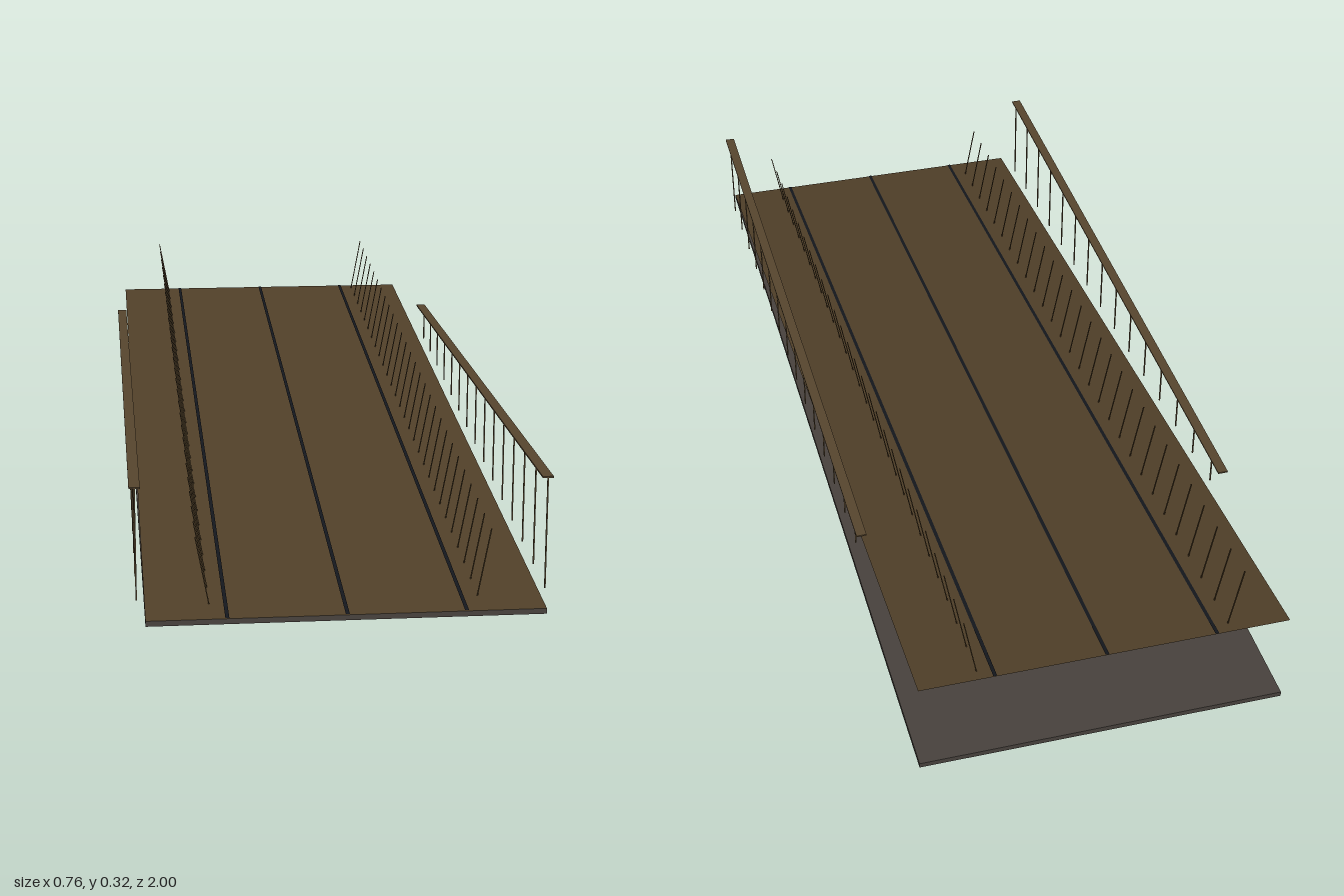
import * as THREE from 'three';

const mat = (name, color, side = THREE.FrontSide) =>
  Object.assign(new THREE.MeshStandardMaterial({ color, side }), { name });

export function createModel() {
  const model = new THREE.Group();
  model.name = 'ramp';
  const deckBrown = mat('deck brown', 0x514029, THREE.DoubleSide);
  const railBrown = mat('rail brown', 0x57462e);
  const baseGrey = mat('base grey', 0x48423d);
  const seamBlack = mat('seam black', 0x14171d, THREE.DoubleSide);
  const spikeBrown = mat('spike brown', 0x483820);

  const W = 0.71;
  const slope = 0.095;
  const rampY = z => 0.105 - slope * z; // deck height at a given z

  const add = (name, geo, material, x = 0, y = 0, z = 0, parent = model) => {
    const m = new THREE.Mesh(geo, material);
    m.name = name;
    m.position.set(x, y, z);
    parent.add(m);
    return m;
  };

  // Flat sheet lying along the incline
  const sheet = width => {
    const g = new THREE.PlaneGeometry(width, 2).rotateX(-Math.PI / 2);
    const p = g.attributes.position;
    for (let i = 0; i < p.count; i++) p.setY(i, rampY(p.getZ(i)));
    g.computeVertexNormals();
    return g;
  };

  add('base', new THREE.BoxGeometry(W, 0.01, 2), baseGrey, 0, 0.005, 0);
  add('deck', sheet(W), deckBrown);
  for (const x of [-0.212, 0, 0.212]) add('seam', sheet(0.007), seamBlack, x, 0.0015, 0);

  for (const side of [-1, 1]) {
    // Row of thin spikes leaning outwards
    const spikes = new THREE.Group();
    spikes.name = side > 0 ? 'leftSpikes' : 'rightSpikes';
    model.add(spikes);
    const length = 0.127;
    const spikeGeo = new THREE.BoxGeometry(0.002, length, 0.002).translate(0, length / 2, 0);
    for (let i = 0; i < 28; i++) {
      const z = 0.938 - i * 0.0709;
      const s = add('spike', spikeGeo, spikeBrown, side * 0.241, rampY(z), z, spikes);
      s.rotation.z = -side * 0.185;
    }

    // Level handrail with upright posts that start at deck height
    const railing = new THREE.Group();
    railing.name = side > 0 ? 'leftRailing' : 'rightRailing';
    model.add(railing);
    const x = side * 0.369, top = 0.227;
    add('handrail', new THREE.BoxGeometry(0.02, 0.003, 1.515), railBrown, x, top, 0.158, railing);
    for (let i = 0; i < 15; i++) {
      const z = 0.914 - i * 0.1037;
      const h = top - rampY(z);
      add('post', new THREE.BoxGeometry(0.0025, h, 0.0025), railBrown, x, top - h / 2, z, railing);
    }
  }
  return model;
}
